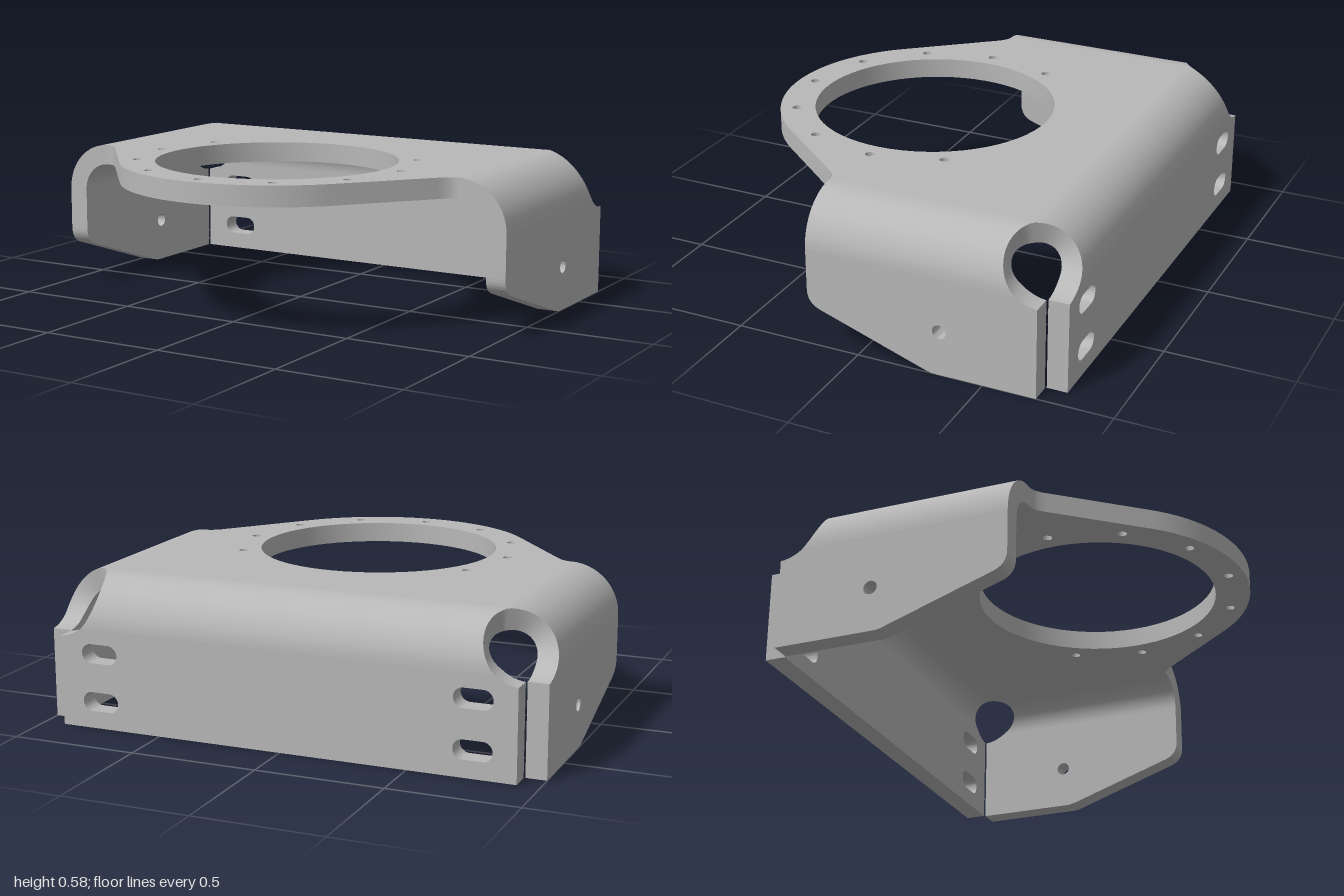
import * as THREE from 'three';
import { toCreasedNormals } from 'three/addons/utils/BufferGeometryUtils.js';

const T = 0.08;                         // sheet thickness
const TOP = 0.585;                      // upper face of the plate
const R = 0.195;                        // outer bend radius
const BEND_Y = TOP - R;                 // height where the bends end
const L = (R - T / 2) * Math.PI / 2;    // flat length of a bend
const PX = 0.805, PZ = -0.597;          // bend lines at the sides and back
const FRONT = 0.205;                    // front edge of the side flanges
const C = 0.122, CR = 0.158, EDGE = 0.11; // corner relief circle in the flat sheet, flange end

// How far a bend reaches past the corner at flat distance u
const relief = (u) => C - Math.sqrt(CR * CR - (u - C) ** 2);

// Relief outline on a flange, from the flange end up to the bend: [reach, height]
function reliefPoints() {
  const a0 = Math.asin((L - C) / CR), a1 = Math.acos((C - EDGE) / CR);
  const pts = [];
  for (let i = 0; i <= 6; i++) {
    const a = a1 + (a0 - a1) * i / 6;
    pts.push([C - CR * Math.cos(a), BEND_Y - (C + CR * Math.sin(a) - L)]);
  }
  return pts;
}

function hole(x, y, r) {
  return new THREE.Path().absarc(x, y, r, 0, Math.PI * 2, true);
}

function slot(x, y, halfLength, r) {
  const p = new THREE.Path();
  p.absarc(x + halfLength, y, r, -Math.PI / 2, Math.PI / 2, false);
  p.absarc(x - halfLength, y, r, Math.PI / 2, Math.PI * 1.5, false);
  p.closePath();
  return p;
}

function sheet(shape, curveSegments) {
  return new THREE.ExtrudeGeometry(shape, { depth: T, bevelEnabled: false, curveSegments });
}

// Quarter-round bend; place(out, y, along) puts it in the model
function bend(place, lo, hi, flip) {
  const N = 16, rings = [], pos = [];
  for (let i = 0; i <= N; i++) {
    const a = i / N * Math.PI / 2, u = i / N * L;
    const p = (r, w) => place(r * Math.sin(a), BEND_Y + r * Math.cos(a), w);
    rings.push([p(R, lo(u)), p(R, hi(u)), p(R - T, hi(u)), p(R - T, lo(u))]);
  }
  const quad = (a, b, c, d) => {
    const order = flip ? [a, c, b, a, d, c] : [a, b, c, a, c, d];
    order.forEach((v) => pos.push(...v));
  };
  for (let i = 0; i < N; i++) {
    for (let k = 0; k < 4; k++) {
      const n = (k + 1) % 4;
      quad(rings[i][k], rings[i][n], rings[i + 1][n], rings[i + 1][k]);
    }
  }
  quad(...[...rings[0]].reverse());
  quad(...rings[N]);
  const g = new THREE.BufferGeometry();
  g.setAttribute('position', new THREE.Float32BufferAttribute(pos, 3));
  return g;
}

// Top plate with a rounded nose, large opening and ring of small holes
function topPlate() {
  const cz = 0.177, a = Math.atan2(0.57 - cz, 0.47);
  const s = new THREE.Shape();
  s.moveTo(-PX, PZ);
  s.lineTo(PX, PZ);
  s.lineTo(PX, FRONT);
  s.quadraticCurveTo(0.77, FRONT, 0.735, 0.25);
  s.absarc(0, cz, 0.615, a, Math.PI - a, false);
  s.lineTo(-0.735, 0.25);
  s.quadraticCurveTo(-0.77, FRONT, -PX, FRONT);
  s.closePath();
  s.holes.push(hole(0, cz, 0.477));
  for (let i = -1; i <= 7; i++) {
    const t = i * Math.PI / 6;
    s.holes.push(hole(0.55 * Math.cos(t), cz + 0.55 * Math.sin(t), 0.018));
  }
  return sheet(s, 32).rotateX(Math.PI / 2).translate(0, TOP, 0);
}

// Side flange, drawn with its rear end to the right
function sideFlange(x) {
  const s = new THREE.Shape();
  s.moveTo(-PZ + EDGE, 0);
  reliefPoints().forEach(([v, y]) => s.lineTo(-PZ + v, y));
  s.lineTo(-FRONT, BEND_Y);
  s.lineTo(-FRONT, 0.225);
  s.quadraticCurveTo(-FRONT, 0.168, -0.15, 0.15);
  s.lineTo(0.27, 0.008);
  s.quadraticCurveTo(0.292, 0, 0.315, 0);
  s.closePath();
  s.holes.push(hole(0.33, 0.175, 0.027));
  return sheet(s, 16).rotateY(Math.PI / 2).translate(x, 0, 0);
}

// Back flange with four mounting slots
function backFlange() {
  const s = new THREE.Shape(), pts = reliefPoints();
  s.moveTo(PX + EDGE, 0);
  pts.forEach(([v, y]) => s.lineTo(PX + v, y));
  [...pts].reverse().forEach(([v, y]) => s.lineTo(-PX - v, y));
  s.lineTo(-PX - EDGE, 0);
  s.closePath();
  for (const x of [-0.75, 0.75]) {
    for (const y of [0.105, 0.295]) s.holes.push(slot(x, y, 0.0375, 0.0375));
  }
  return sheet(s, 12).translate(0, 0, PZ - R);
}

export function createModel() {
  const group = new THREE.Group();
  group.name = 'mountingBracket';
  const steel = new THREE.MeshStandardMaterial({ color: 0xb8b8b8 });
  steel.name = 'greySteel';
  const add = (name, geometry) => {
    const mesh = new THREE.Mesh(toCreasedNormals(geometry, Math.PI / 6), steel);
    mesh.name = name;
    group.add(mesh);
  };

  add('topPlate', topPlate());
  add('backFlange', backFlange());
  add('backBend', bend((o, y, w) => [w, y, PZ - o],
    (u) => -PX - relief(u), (u) => PX + relief(u), false));

  for (const [side, m] of [['left', 1], ['right', -1]]) {
    add(side + 'Flange', sideFlange(m > 0 ? PX + R - T : -PX - R));
    add(side + 'Bend', bend((o, y, w) => [m * (PX + o), y, w],
      (u) => PZ - relief(u), () => FRONT, m < 0));
  }
  return group;
}
